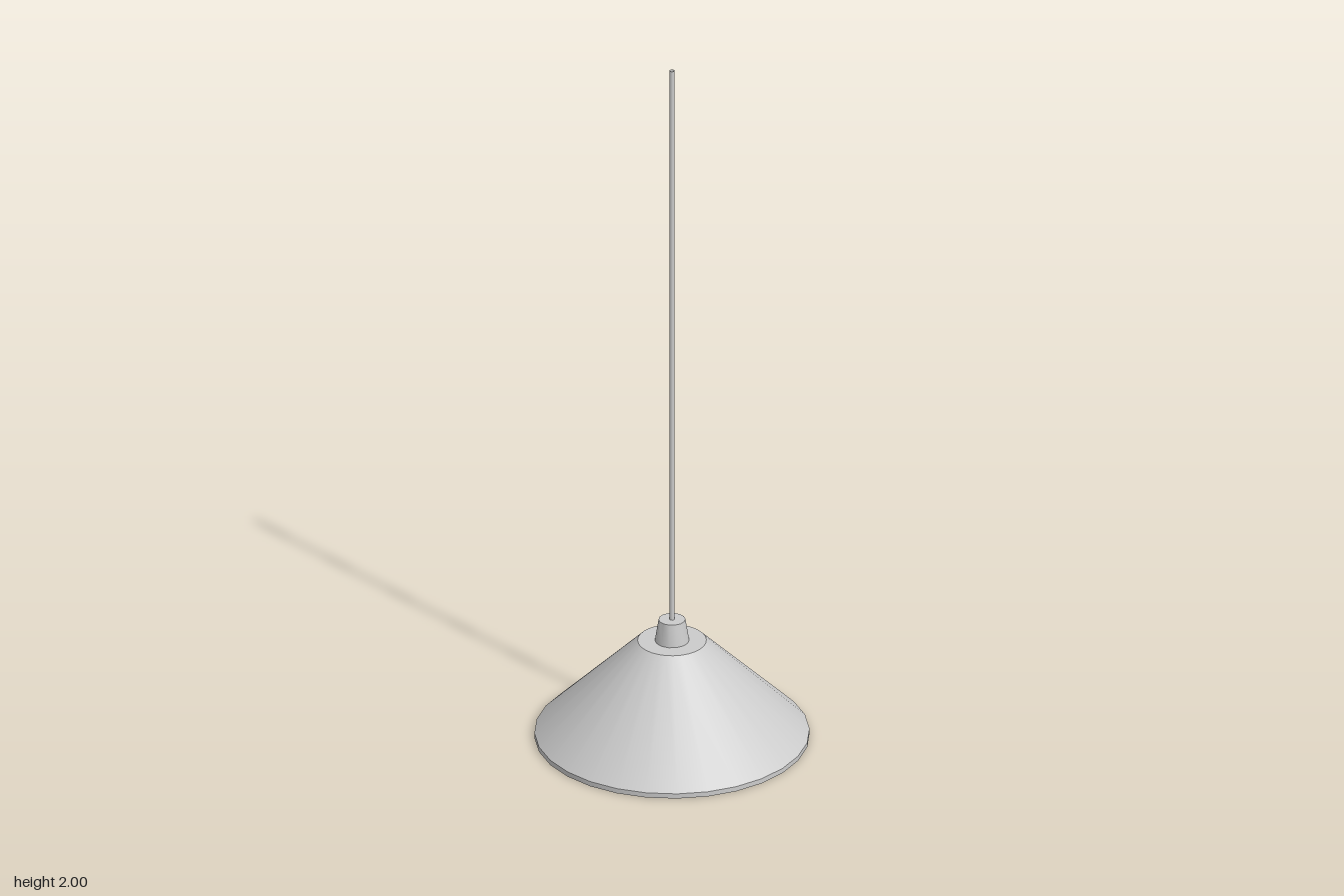
import * as THREE from 'three';
import { toCreasedNormals } from 'three/addons/utils/BufferGeometryUtils.js';

const material = new THREE.MeshStandardMaterial({ color: 0xcccccc, side: THREE.DoubleSide });

// Turned part from [radius, height] points, with sharp profile edges
function turned(name, profile, sides) {
  const points = profile.map(([r, y]) => new THREE.Vector2(r, y));
  const geometry = toCreasedNormals(new THREE.LatheGeometry(points, sides), 0.6);
  const mesh = new THREE.Mesh(geometry, material);
  mesh.name = name;
  return mesh;
}

export function createModel() {
  const group = new THREE.Group();
  group.name = 'pendantLamp';

  // Thin-walled conical shade: inside from the top down, rim, then outside up
  group.add(turned('shade', [
    [0, 0.277], [0.088, 0.277], [0.358, 0.012], [0.358, 0],
    [0.368, 0], [0.368, 0.014], [0.092, 0.287], [0, 0.287],
  ], 28));

  // Tapered cord holder on top of the shade
  group.add(turned('cordHolder', [[0.046, 0.287], [0.036, 0.35], [0, 0.35]], 14));

  // Long hanging cord
  const cord = new THREE.Mesh(new THREE.CylinderGeometry(0.007, 0.007, 1.65, 10, 1, true), material);
  cord.name = 'cord';
  cord.position.y = 1.175;
  group.add(cord);

  return group;
}
